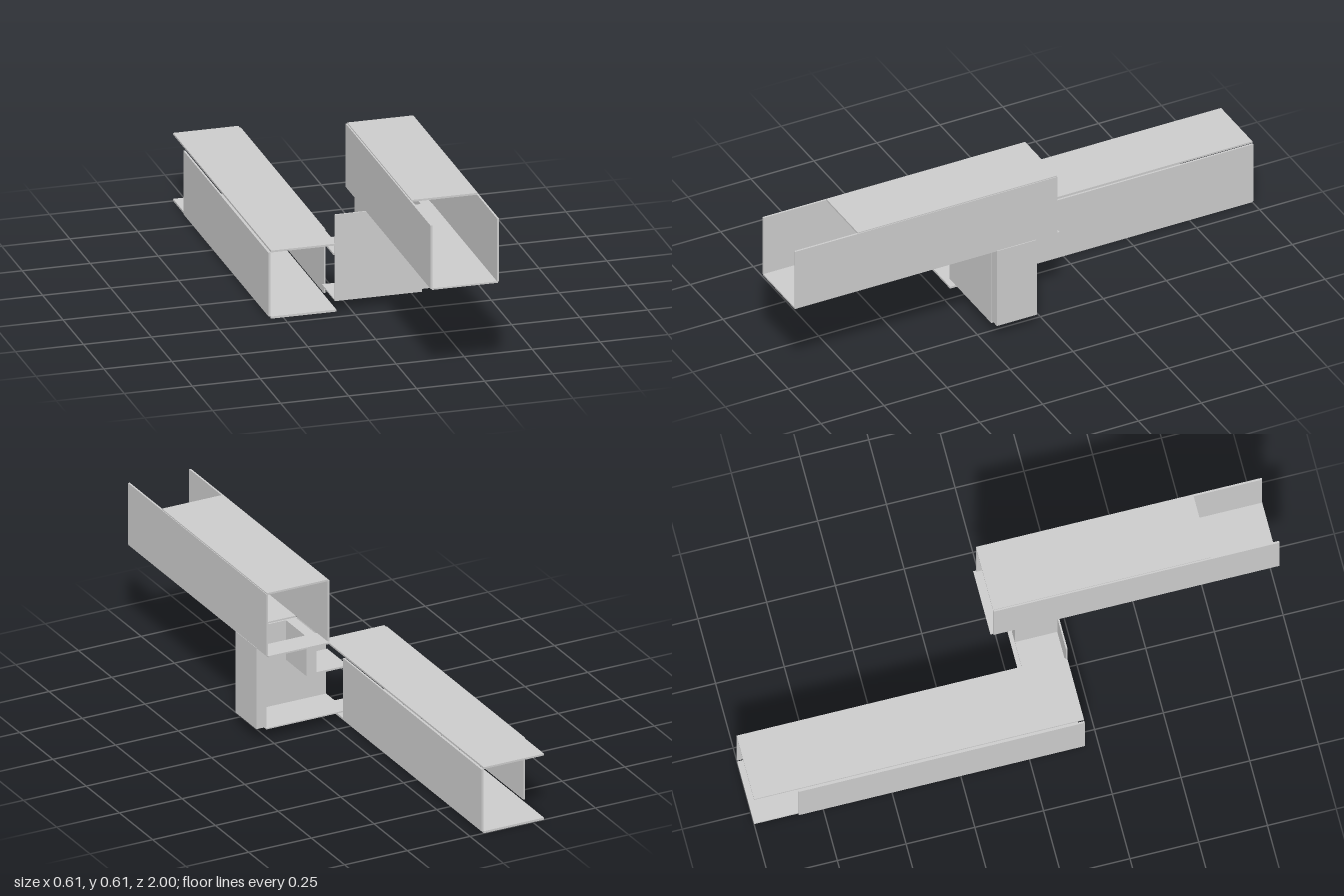
import * as THREE from 'three';

export function createModel() {
  const model = new THREE.Group();
  const material = new THREE.MeshStandardMaterial({ color: 0xcccccc, flatShading: true });

  // Box given by its [min, max] range on each axis
  function panel(parent, name, x, y, z) {
    const size = [x, y, z].map(([a, b]) => b - a);
    const mesh = new THREE.Mesh(new THREE.BoxGeometry(...size), material);
    mesh.name = name;
    mesh.position.set(...[x, y, z].map(([a, b]) => (a + b) / 2));
    parent.add(mesh);
  }
  function section(name) {
    const group = new THREE.Group();
    group.name = name;
    model.add(group);
    return group;
  }

  // Low corridor, running to the back, open at both ends
  const lower = section('lowerCorridor');
  panel(lower, 'lowerFloor', [-0.295, -0.055], [0, 0.008], [-1, 0.2]);
  panel(lower, 'lowerRoof', [-0.295, -0.055], [0.25, 0.257], [-1, 0.2]);
  panel(lower, 'lowerOuterWall', [-0.305, -0.298], [0.01, 0.25], [-0.84, 0.2]);
  panel(lower, 'lowerInnerWall', [-0.053, -0.046], [0.01, 0.25], [-1, 0.04]);

  // High corridor, running to the front, floor split over the shaft
  const upper = section('upperCorridor');
  panel(upper, 'upperFloorBack', [0.057, 0.3], [0.366, 0.372], [-0.05, 0.04]);
  panel(upper, 'upperFloorFront', [0.057, 0.3], [0.366, 0.372], [0.2, 1]);
  panel(upper, 'upperRoof', [0.057, 0.3], [0.606, 0.613], [-0.04, 0.75]);
  for (const [name, x] of [['upperInnerWall', 0.055], ['upperOuterWall', 0.299]]) {
    panel(upper, name, [x - 0.0035, x + 0.0035], [0.37, 0.609], [-0.04, 1]);
  }

  // Passage from the low corridor, sideways and then up the shaft
  const shaft = section('connectingShaft');
  panel(shaft, 'shaftFront', [-0.06, 0.26], [0.045, 0.366], [0.194, 0.2]);
  panel(shaft, 'passageFloor', [-0.06, 0.26], [0.04, 0.045], [0.04, 0.2]);
  panel(shaft, 'passageCeiling', [-0.064, 0.1], [0.212, 0.219], [0.04, 0.194]);
  panel(shaft, 'shaftInnerWall', [0.06, 0.1], [0.219, 0.366], [0.04, 0.194]);
  panel(shaft, 'shaftOuterWall', [0.26, 0.3], [0.05, 0.366], [0.04, 0.198]);

  return model;
}
